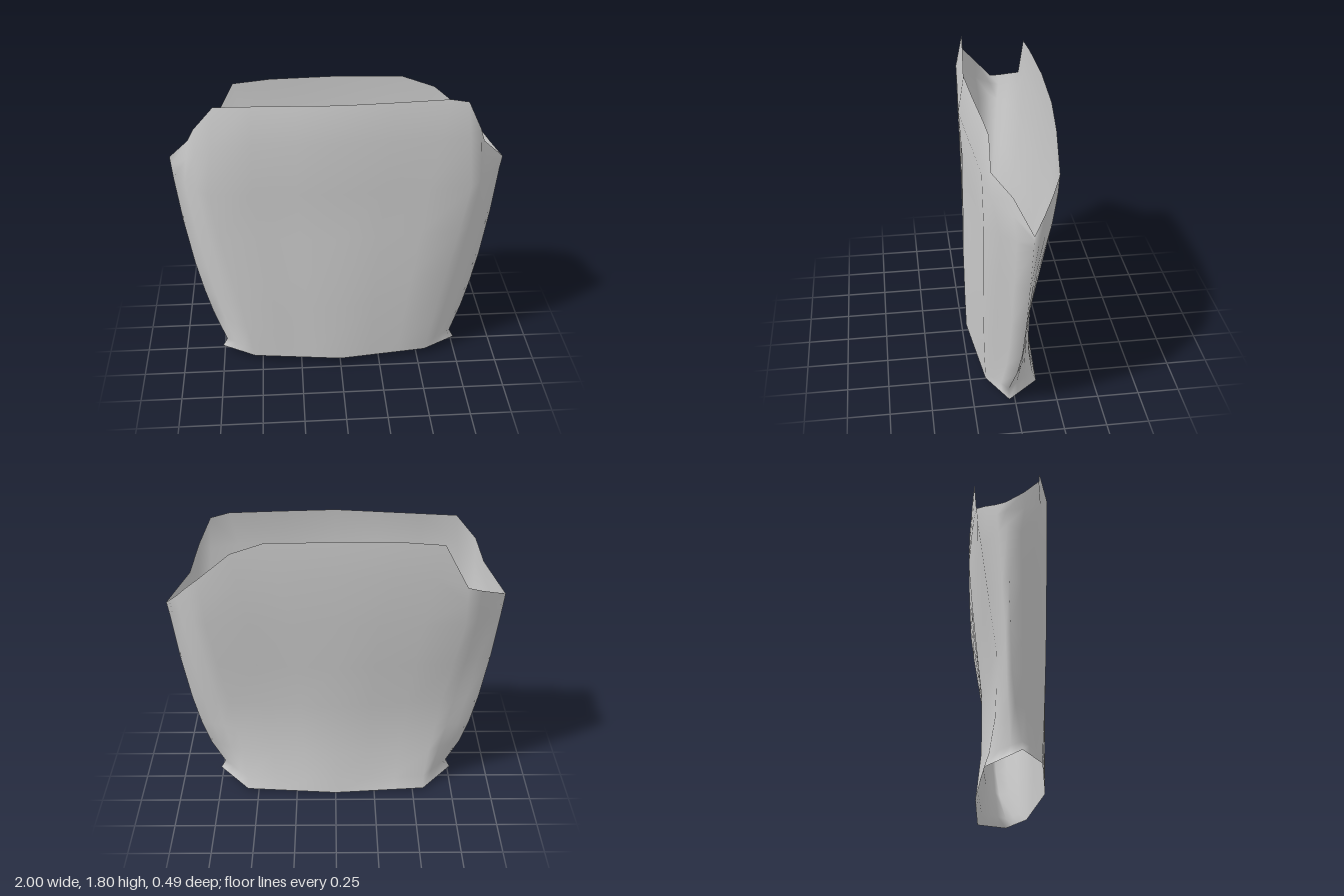
import * as THREE from 'three';

// Half cross-sections from bottom to shoulder height:
// front centre, front corner, side, back corner, back centre as [x, y, z]
const sections = [
  [[0, 0.045, 0.225], [0.55, 0.045, 0.16], [0.76, 0.045, 0.04], [0.57, 0.012, -0.15], [0, 0, -0.18]],
  [[0, 0.1, 0.226], [0.56, 0.1, 0.162], [0.73, 0.1, 0.04], [0.57, 0.09, -0.125], [0, 0.09, -0.17]],
  [[0, 0.28, 0.23], [0.59, 0.28, 0.17], [0.805, 0.28, 0.0], [0.6, 0.28, -0.095], [0, 0.28, -0.15]],
  [[0, 0.45, 0.232], [0.62, 0.45, 0.175], [0.855, 0.45, -0.02], [0.63, 0.45, -0.09], [0, 0.45, -0.148]],
  [[0, 0.65, 0.235], [0.66, 0.65, 0.18], [0.9, 0.65, -0.03], [0.66, 0.65, -0.093], [0, 0.65, -0.15]],
  [[0, 0.95, 0.23], [0.72, 0.95, 0.182], [0.95, 0.95, -0.04], [0.71, 0.95, -0.14], [0, 0.95, -0.183]],
  [[0, 1.25, 0.225], [0.77, 1.25, 0.186], [0.987, 1.25, -0.05], [0.76, 1.25, -0.185], [0, 1.25, -0.215]],
];

// Uneven top rim, front centre to back centre, for each side
const rimLeft = [
  [0, 1.805, 0.21], [0.31, 1.805, 0.19], [0.62, 1.805, 0.165], [0.73, 1.78, 0.15], [0.81, 1.61, 0.15],
  [0.86, 1.48, 0.04], [1, 1.33, -0.05], [0.93, 1.4, -0.11], [0.86, 1.48, -0.165], [0.78, 1.56, -0.215],
  [0.59, 1.72, -0.225], [0.39, 1.79, -0.232], [0, 1.795, -0.242],
];
const rimRight = [
  [0, 1.805, 0.21], [-0.25, 1.8, 0.19], [-0.5, 1.795, 0.17], [-0.71, 1.79, 0.155], [-0.83, 1.65, 0.14],
  [-0.875, 1.54, 0.05], [-1, 1.385, -0.06], [-0.92, 1.42, -0.11], [-0.84, 1.46, -0.17], [-0.755, 1.5, -0.215],
  [-0.61, 1.77, -0.225], [-0.39, 1.79, -0.232], [0, 1.795, -0.242],
];

const SPLIT = 3;
const lerp = (a, b, t) => a.map((v, i) => v + (b[i] - v) * t);

// Closed ring from two half rings, running front, left, back, right
const closeRing = (left, right) => [...left, ...right.slice(1, -1).reverse()];

function ringFromSection(section) {
  const half = [];
  for (let s = 0; s < section.length - 1; s++)
    for (let k = 0; k < SPLIT; k++) half.push(lerp(section[s], section[s + 1], k / SPLIT));
  half.push(section[section.length - 1]);
  return closeRing(half, half.map(([x, y, z]) => [-x, y, z]));
}

// Row between shoulder and rim, bulging a little in the tall flaps
function flapRow(base, rim, t, bulge) {
  return base.map((p, i) => {
    const q = lerp(p, rim[i], t);
    const tall = Math.max(0, (rim[i][1] - 1.35) / 0.45);
    q[2] += tall * bulge * (p[2] > 0 ? 0.028 : -0.012);
    return q;
  });
}

function loft(rows) {
  const n = rows[0].length;
  const index = [];
  for (let j = 0; j < rows.length - 1; j++)
    for (let i = 0; i < n; i++) {
      const a = j * n + i, b = j * n + (i + 1) % n;
      index.push(a, b, b + n, a, b + n, a + n);
    }
  const geometry = new THREE.BufferGeometry();
  geometry.setAttribute('position', new THREE.Float32BufferAttribute(rows.flat(2), 3));
  geometry.setIndex(index);
  geometry.computeVertexNormals();
  return geometry;
}

export function createModel() {
  const group = new THREE.Group();
  group.name = 'openSleeve';

  const rows = sections.map(ringFromSection);
  const shoulder = rows[rows.length - 1];
  const rim = closeRing(rimLeft, rimRight);
  rows.push(flapRow(shoulder, rim, 0.6, 1), rim);

  // Thin flattened tube, open at top and bottom
  const shell = new THREE.Mesh(
    loft(rows),
    new THREE.MeshStandardMaterial({ color: 0xcccccc, side: THREE.DoubleSide })
  );
  shell.name = 'shell';
  group.add(shell);
  return group;
}
